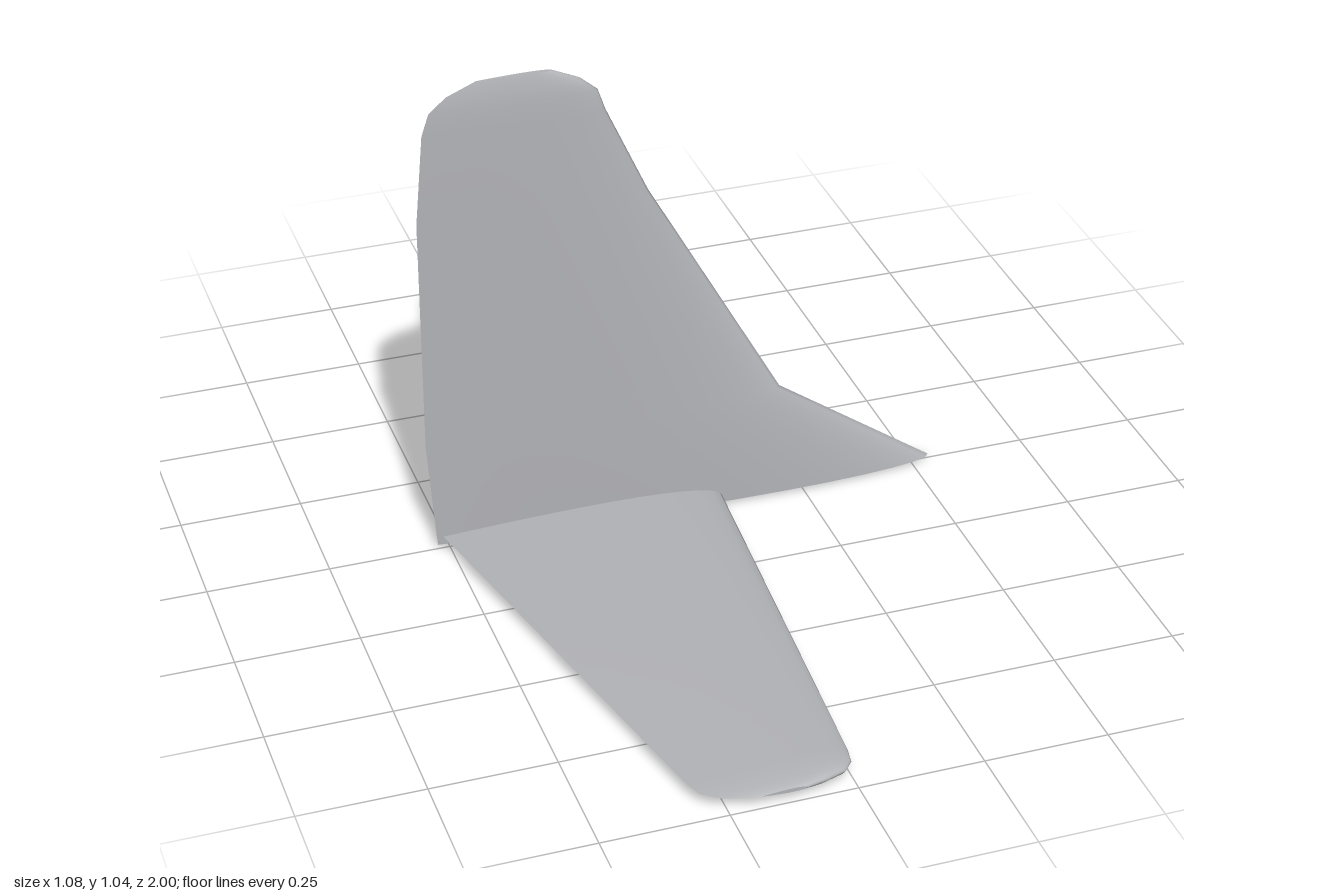
import * as THREE from 'three';

const HALF = 16; // points along each side of an aerofoil section

// Half thickness of a symmetric aerofoil, s = 0 at the nose, peak = 1
const foil = (s) => Math.max(0, 10 * (0.2969 * Math.sqrt(s) - 0.126 * s - 0.3516 * s ** 2 + 0.2843 * s ** 3 - 0.1036 * s ** 4));

// Lofts aerofoil sections up y; station = [span, trailing x, leading x, half thickness]
function loftFoil(stations) {
  const N = HALF * 2, row = N + 1, pos = [], idx = [];
  const addRing = ([span, tail, nose, half]) => {
    for (let j = 0; j <= N; j++) {
      const a = (j / N) * 2 * Math.PI;
      const s = (1 + Math.cos(a)) / 2;
      pos.push(nose + (tail - nose) * s, span, (j <= HALF ? 1 : -1) * half * foil(s));
    }
  };
  stations.forEach(addRing);
  for (let i = 0; i < stations.length - 1; i++) {
    for (let j = 0; j < N; j++) {
      const a = i * row + j, d = a + row;
      idx.push(a, a + 1, d, a + 1, d + 1, d);
    }
  }
  // flat end caps with their own vertices
  [[stations[0], false], [stations[stations.length - 1], true]].forEach(([station, up]) => {
    const base = pos.length / 3;
    addRing(station);
    for (let j = 0; j < HALF; j++) {
      const a = base + j, b = a + 1, d = base + N - j, c = d - 1;
      if (up) idx.push(a, b, c, a, c, d);
      else idx.push(a, c, b, a, d, c);
    }
  });
  const geo = new THREE.BufferGeometry();
  geo.setAttribute('position', new THREE.Float32BufferAttribute(pos, 3));
  geo.setIndex(idx);
  geo.computeVertexNormals();
  return geo;
}

export function createModel() {
  const group = new THREE.Group();
  group.name = 'tailAssembly';
  const grey = new THREE.MeshStandardMaterial({ color: 0xb2b3b7 });
  grey.name = 'pale grey';

  // Upright fin with a swept fillet at its foot and a rounded tip
  const fin = new THREE.Mesh(loftFoil([
    [0.01, -0.525, 0.54, 0.037],
    [0.245, -0.542, 0.205, 0.031],
    [0.75, -0.542, -0.075, 0.021],
    [0.94, -0.525, -0.16, 0.017],
    [0.985, -0.51, -0.175, 0.015],
    [1.015, -0.475, -0.21, 0.012],
    [1.04, -0.415, -0.265, 0.006],
  ]), grey);
  fin.name = 'verticalFin';
  group.add(fin);

  // Tailplane, mirrored about its root section
  const side = [
    [0.92, -0.308, 0.008, 0.015],
    [0.955, -0.295, 0.002, 0.0135],
    [0.978, -0.268, -0.018, 0.011],
    [0.992, -0.23, -0.06, 0.008],
    [1.0, -0.19, -0.1, 0.004],
  ];
  const mirrored = side.map(([z, ...rest]) => [-z, ...rest]).reverse();
  const geo = loftFoil([...mirrored, [0, -0.513, 0.072, 0.027], ...side]);
  geo.rotateX(-Math.PI / 2);
  geo.translate(0, 0.028, 0);
  const tailplane = new THREE.Mesh(geo, grey);
  tailplane.name = 'tailplane';
  group.add(tailplane);

  return group;
}
